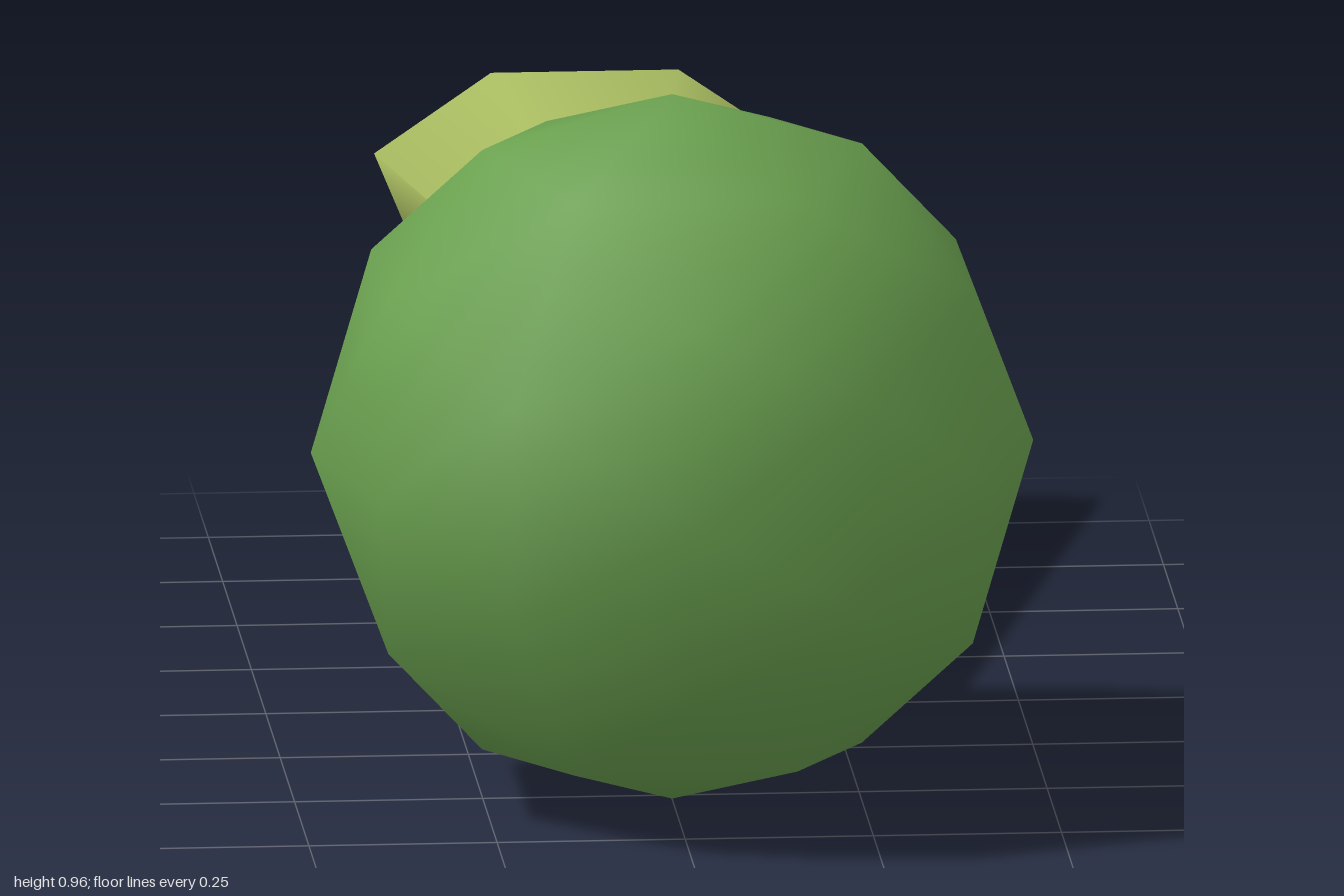
import * as THREE from 'three';

export function createModel() {
  const model = new THREE.Group();

  function addPart(name, geometry, color, x, y, z) {
    const mesh = new THREE.Mesh(geometry, new THREE.MeshStandardMaterial({ color }));
    mesh.name = name;
    mesh.position.set(x, y, z);
    model.add(mesh);
  }

  // Round low-poly body with smooth shading
  addPart('body', new THREE.IcosahedronGeometry(0.48, 1), 0x6aa04f, 0, 0.48, 0.52);

  // Flattened seven-sided tail, widening towards the back, narrow end set into the body
  const length = 1.07;
  const tail = new THREE.CylinderGeometry(0.04, 0.287, length, 7);
  tail.rotateX(Math.PI / 2);
  tail.scale(1, 0.55, 1);
  addPart('tail', tail, 0xa8bb60, 0, 0.484, -1 + length / 2);

  return model;
}
